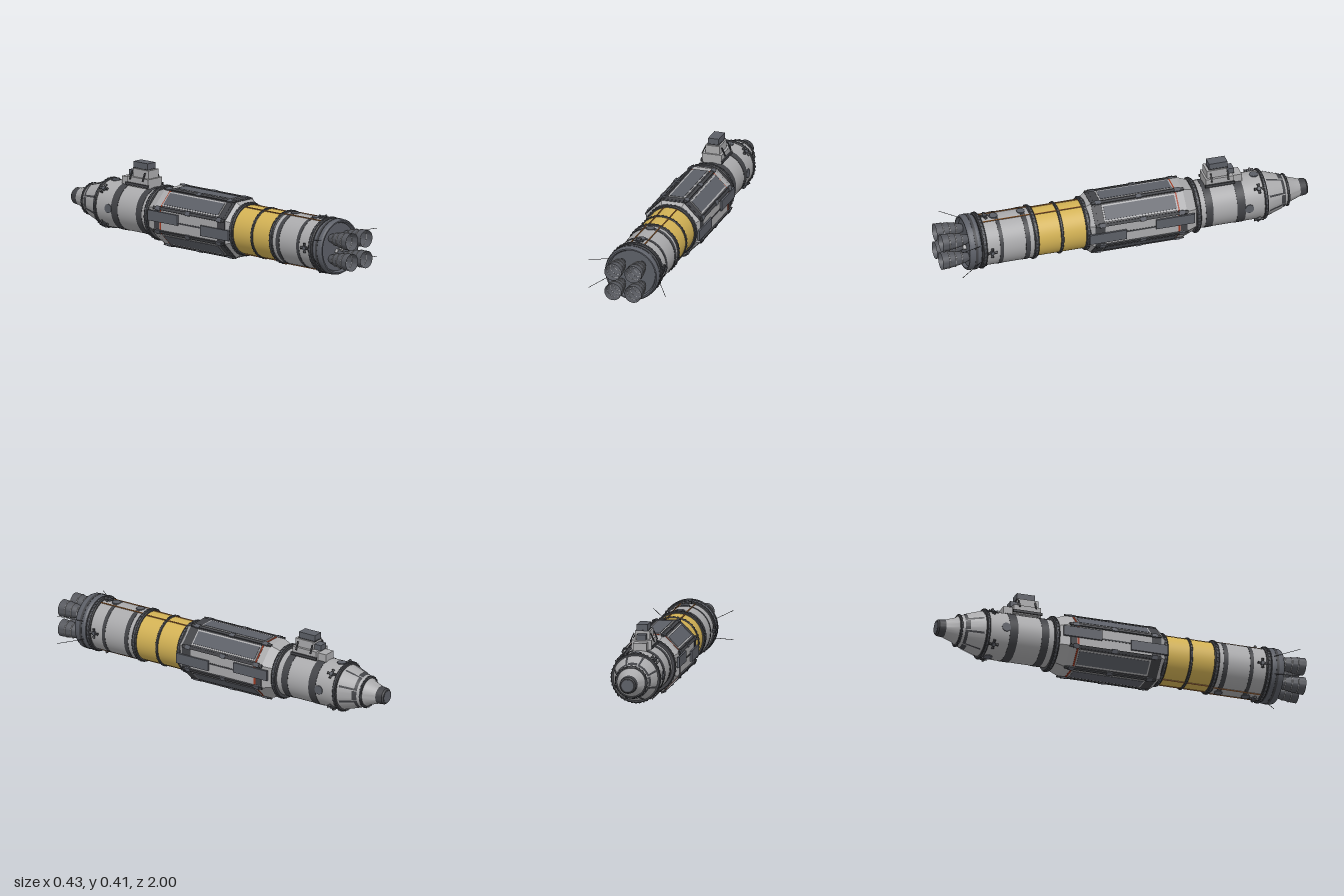
import * as THREE from 'three';
import { mergeGeometries, toCreasedNormals } from 'three/addons/utils/BufferGeometryUtils.js';

const mat = (name, color, side = THREE.FrontSide) => {
  const m = new THREE.MeshStandardMaterial({ color, side });
  m.name = name;
  return m;
};

export function createModel() {
  const grey = mat('hullGrey', 0xaaaaac);
  const dark = mat('darkTrim', 0x424347);
  const slate = mat('slatePanel', 0x5c5f67);
  const bell = mat('bellMetal', 0x56585e, THREE.DoubleSide);
  const gold = mat('goldFoil', 0xd2b154);
  const orange = mat('orangeConduit', 0x9c6230);
  const red = mat('redStripe', 0xa03a22);
  const blue = mat('injectorBlue', 0x93c0d0);

  const root = new THREE.Group();
  root.name = 'spacecraft';
  const ship = new THREE.Group(); // its z axis is the centreline
  ship.name = 'ship';
  ship.position.y = 0.16;
  root.add(ship);

  const add = (name, geo, material, parent = ship, x = 0, y = 0, z = 0) => {
    const m = new THREE.Mesh(geo, material);
    m.name = name;
    m.position.set(x, y, z);
    parent.add(m);
    return m;
  };
  const box = (name, w, h, d, material, x, y, z, parent = ship) =>
    add(name, new THREE.BoxGeometry(w, h, d), material, parent, x, y, z);

  // Turned part about z; profile is [radius, z] with z rising. angle 0 is the top, towards +x.
  const turned = (name, profile, material, parent = ship, segs = 56, angle = 0, half = Math.PI) => {
    const pts = profile.map(([r, z]) => new THREE.Vector2(r, z));
    const geo = new THREE.LatheGeometry(pts, segs, Math.PI - angle - half, half * 2);
    geo.rotateX(Math.PI / 2);
    return add(name, toCreasedNormals(geo, 0.5), material, parent);
  };
  const band = (name, r, z0, z1, material) =>
    turned(name, [[r - 0.01, z0], [r, z0], [r, z1], [r - 0.01, z1]], material);

  // Eight-sided prism or taper about z, sized by flat-to-centre distance
  const octagon = (name, a0, z0, a1, z1, material) => {
    const k = 1 / Math.cos(Math.PI / 8);
    const geo = new THREE.CylinderGeometry(a1 * k, a0 * k, z1 - z0, 8).toNonIndexed();
    geo.rotateY(Math.PI / 8).rotateX(Math.PI / 2);
    geo.computeVertexNormals();
    return add(name, geo, material, ship, 0, 0, (z0 + z1) / 2);
  };

  // Group whose +y points outward at the given angle
  const spoke = (name, angle) => {
    const g = new THREE.Group();
    g.name = name;
    g.rotation.z = -angle;
    ship.add(g);
    return g;
  };

  // Flange ring with a row of bolts
  const flange = (name, r, z, w, n = 40) => {
    turned(name, [[r - 0.03, z - w], [r - 0.004, z - w], [r, z - w * 0.6], [r, z + w * 0.6],
      [r - 0.004, z + w], [r - 0.03, z + w]], dark);
    const bolts = [];
    for (let i = 0; i < n; i++) {
      const b = new THREE.BoxGeometry(0.008, 0.006, w * 0.9);
      b.translate(0, r, z).rotateZ((i / n) * Math.PI * 2);
      bolts.push(b);
    }
    add(name + 'Bolts', mergeGeometries(bolts), slate);
  };

  // Hull sections
  turned('serviceHull', [[0, 0.49], [0.135, 0.49], [0.135, 0.79], [0, 0.79]], grey);
  turned('goldTank', [[0, 0.2], [0.129, 0.2], [0.129, 0.5], [0, 0.5]], gold);
  turned('forwardHull', [[0, -0.75], [0.125, -0.75], [0.125, -0.36], [0, -0.36]], grey);
  turned('capsuleCone', [[0.078, -0.885], [0.122, -0.745]], grey);
  turned('noseCone', [[0.044, -0.965], [0.066, -0.9], [0.078, -0.885]], grey);
  turned('noseCap', [[0, -1], [0.036, -1], [0.043, -0.992], [0.047, -0.955], [0.04, -0.955]], dark);
  turned('noseFace', [[0, -1.001], [0.03, -1.001], [0.03, -0.998]], slate);
  band('hullBandA', 0.1265, -0.46, -0.42, dark);
  band('hullBandB', 0.1265, -0.635, -0.59, dark);
  band('serviceBandA', 0.1365, 0.68, 0.7, dark);
  band('serviceBandB', 0.1365, 0.535, 0.56, dark);
  flange('noseFlange', 0.084, -0.883, 0.007, 24);
  flange('capsuleFlange', 0.131, -0.75, 0.01);
  flange('forwardFlange', 0.144, -0.378, 0.013);
  flange('tankFlangeFront', 0.139, 0.218, 0.013);
  flange('tankFlangeMiddle', 0.134, 0.36, 0.008);
  flange('tankFlangeRear', 0.14, 0.5, 0.013);
  flange('skirtFlange', 0.146, 0.783, 0.013);

  // Capsule hatches and ribs
  const coneR = z => 0.122 + (z + 0.745) * 0.314;
  const patch = (name, z0, z1, lift, angle, half, material) =>
    turned(name, [[coneR(z0) + lift, z0], [coneR(z1) + lift, z1]], material, ship, 10, angle, half);
  for (let i = 0; i < 4; i++) {
    const a = (i + 0.5) * Math.PI / 2;
    patch('hatchFrame', -0.865, -0.77, 0.002, a, 0.46, dark);
    patch('hatch', -0.85, -0.765, 0.004, a, 0.36, grey);
    patch('capsuleWindow', -0.865, -0.84, 0.003, a + Math.PI / 4, 0.28, dark);
  }

  // Eight-sided habitat with corner rails and panels
  octagon('habitat', 0.147, -0.31, 0.147, 0.19, grey);
  octagon('habitatFrontTaper', 0.127, -0.365, 0.147, -0.31, grey);
  octagon('habitatRearTaper', 0.147, 0.19, 0.132, 0.212, grey);
  octagon('habitatBand', 0.149, 0.135, 0.149, 0.188, dark);
  octagon('habitatRedStripe', 0.1485, -0.273, 0.1485, -0.263, red);
  for (let i = 0; i < 8; i++) {
    const face = spoke('habitatFace', i * Math.PI / 4);
    if (i % 4 === 2) {
      // Side faces carry offset equipment plates instead of solar panels
      box('sideRearPlate', 0.055, 0.012, 0.2, slate, i === 2 ? 0.012 : -0.012, 0.151, 0.12, face);
      box('sideFrontPlate', 0.055, 0.012, 0.21, slate, i === 2 ? -0.017 : 0.017, 0.151, -0.245, face);
      box('sideStripe', 0.1, 0.004, 0.035, dark, 0, 0.147, -0.293, face);
      box('sideSeam', 0.008, 0.004, 0.36, dark, 0, 0.147, -0.06, face);
    } else {
      box('panelBacking', 0.108, 0.006, 0.43, dark, 0, 0.147, -0.045, face);
      box('panelFrame', 0.09, 0.006, 0.4, grey, 0, 0.149, -0.065, face);
      box('solarPanel', 0.074, 0.006, 0.385, slate, 0, 0.151, -0.065, face);
    }
    const corner = spoke('habitatCorner', (i + 0.5) * Math.PI / 4);
    box('cornerRail', 0.016, 0.008, 0.5, dark, 0, 0.161, -0.065, corner);
    for (const z of [-0.28, -0.07, 0.15]) box('railClamp', 0.024, 0.008, 0.03, slate, 0, 0.163, z, corner);
  }

  // Conduits along the tank and service hull, top and bottom
  for (const base of [0, Math.PI]) {
    for (const s of [-1, 1]) {
      const run = spoke('conduit', base + s * 0.28);
      box('serviceConduit', 0.005, 0.006, 0.27, orange, 0, 0.136, 0.64, run);
      box('tankConduit', 0.005, 0.006, 0.26, orange, 0, 0.13, 0.36, run);
    }
  }

  // Round ports and thruster quads
  const port = (angle, r, z, size) => add('port', new THREE.CylinderGeometry(size, size, 0.008, 20), slate,
    spoke('portMount', angle), 0, r, z);
  const quad = (angle, r, z) => {
    const g = spoke('thrusterQuad', angle);
    box('quadBlock', 0.018, 0.018, 0.018, slate, 0, r, z, g);
    for (let i = 0; i < 4; i++) {
      const arm = new THREE.Group();
      arm.name = 'thruster';
      arm.position.set(0, r + 0.004, z);
      arm.rotation.y = i * Math.PI / 2;
      g.add(arm);
      const cone = new THREE.CylinderGeometry(0.004, 0.008, 0.016, 10).rotateX(-Math.PI / 2);
      add('thrusterNozzle', cone, dark, arm, 0, 0, 0.017);
    }
  };
  for (let i = 0; i < 4; i++) {
    const a = i * Math.PI / 2;
    if (i % 2 === 0) {
      port(a, 0.135, 0.7, 0.024);
      port(a, 0.135, 0.55, 0.022);
    }
    port(a, 0.124, i % 2 ? -0.655 : -0.715, 0.024);
    quad(a, 0.14, 0.745);
    quad(a + Math.PI / 4, 0.129, -0.715);
  }

  // Docking and sensor module on top
  box('moduleBase', 0.106, 0.05, 0.15, grey, 0, 0.147, -0.515);
  box('moduleBaseFront', 0.07, 0.045, 0.06, grey, 0, 0.14, -0.61);
  box('moduleMiddle', 0.078, 0.045, 0.11, grey, 0, 0.193, -0.505);
  box('moduleShelf', 0.05, 0.03, 0.05, slate, 0, 0.186, -0.575);
  box('moduleHead', 0.058, 0.035, 0.1, slate, 0, 0.2325, -0.515);
  box('moduleHeadTrim', 0.061, 0.005, 0.103, dark, 0, 0.217, -0.515);
  for (const s of [-1, 1]) {
    for (const z of [-0.47, -0.56]) {
      const strut = box('moduleStrut', 0.005, 0.048, 0.008, dark, s * 0.054, 0.181, z);
      strut.rotation.z = s * 0.42;
    }
    box('moduleRail', 0.01, 0.014, 0.16, dark, s * 0.056, 0.135, -0.515);
  }

  // Engine skirt with a dished bulkhead
  turned('engineSkirt', [[0.12, 0.8], [0.14, 0.8], [0.146, 0.81], [0.146, 0.855], [0.14, 0.866],
    [0.133, 0.866], [0.126, 0.85], [0, 0.85]], slate);
  band('skirtBand', 0.1475, 0.822, 0.836, dark);

  // Four engines
  for (const sx of [-1, 1]) {
    for (const sy of [-1, 1]) {
      const e = new THREE.Group();
      e.name = 'engine';
      e.position.set(sx * 0.055, sy * 0.055, 0);
      ship.add(e);
      turned('engineBell', [[0.02, 0.85], [0.027, 0.868], [0.034, 0.895], [0.04, 0.93],
        [0.044, 0.965], [0.046, 1]], bell, e, 32);
      for (const [r, z] of [[0.034, 0.89], [0.0405, 0.925], [0.0445, 0.96]]) {
        const ring = new THREE.TorusGeometry(r, 0.002, 6, 32);
        add('bellRing', ring, grey, e, 0, 0, z);
      }
      add('injector', new THREE.CircleGeometry(0.016, 20), blue, e, 0, 0, 0.88);
      const pin = new THREE.CylinderGeometry(0.005, 0.005, 0.03, 10).rotateX(Math.PI / 2);
      add('injectorPin', pin, slate, e, 0, 0, 0.88);
      const brace = box('engineBrace', 0.022, 0.006, 0.02, grey, sx * 0.018, sy * 0.018, 0.858);
      brace.rotation.z = sx * sy * Math.PI / 4;

      // Whip antenna beside each engine
      const path = new THREE.LineCurve3(new THREE.Vector3(sx * 0.138, sy * 0.05, 0.81),
        new THREE.Vector3(sx * 0.212, sy * 0.077, 0.93));
      add('whipAntenna', new THREE.TubeGeometry(path, 1, 0.0014, 6), dark);
    }
  }
  return root;
}
